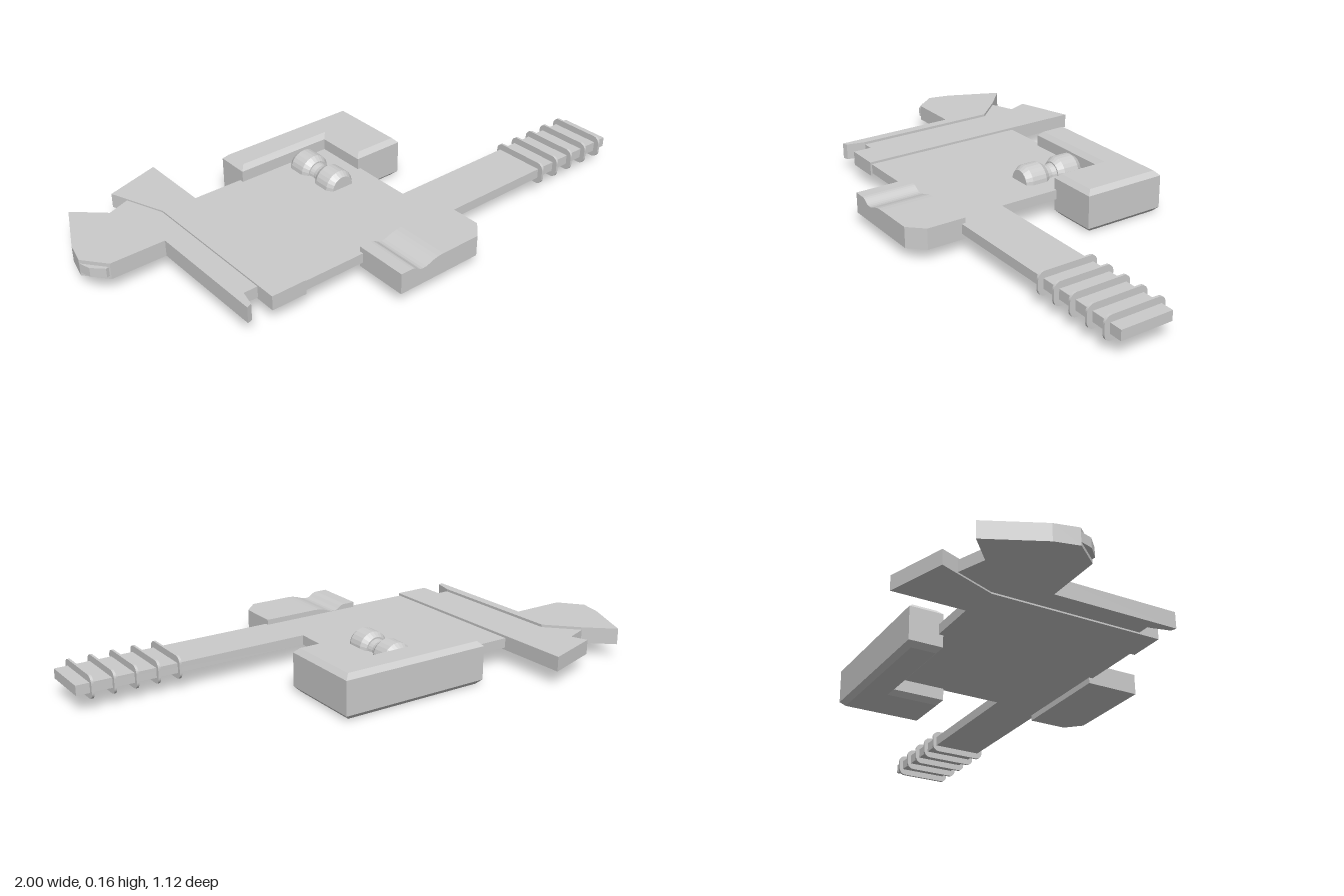
import * as THREE from 'three';

const material = new THREE.MeshStandardMaterial({ color: 0xcccccc, flatShading: true, side: THREE.DoubleSide });
const smooth = new THREE.MeshStandardMaterial({ color: 0xcccccc, side: THREE.DoubleSide });

// Extrudes an [x, z] outline upward from y0 to y1, with an optional chamfer inside the outline.
function slab(name, outline, y0, y1, chamfer = 0) {
  const shape = new THREE.Shape(outline.map(([x, z]) => new THREE.Vector2(x, -z)));
  const geo = new THREE.ExtrudeGeometry(shape, {
    depth: y1 - y0 - 2 * chamfer,
    bevelEnabled: chamfer > 0,
    bevelSize: chamfer,
    bevelThickness: chamfer,
    bevelOffset: -chamfer,
    bevelSegments: 1,
  });
  geo.rotateX(-Math.PI / 2);
  geo.translate(0, y0 + chamfer, 0);
  return named(name, geo);
}

function named(name, geo, mat = material) {
  const mesh = new THREE.Mesh(geo, mat);
  mesh.name = name;
  return mesh;
}

// Thin rounded collar around the arm.
function collar(x) {
  const w = 0.23, h = 0.086, r = 0.026;
  const s = new THREE.Shape();
  s.absarc(w / 2 - r, h / 2 - r, r, 0, Math.PI / 2);
  s.absarc(-w / 2 + r, h / 2 - r, r, Math.PI / 2, Math.PI);
  s.absarc(-w / 2 + r, -h / 2 + r, r, Math.PI, Math.PI * 1.5);
  s.absarc(w / 2 - r, -h / 2 + r, r, Math.PI * 1.5, Math.PI * 2);
  const geo = new THREE.ExtrudeGeometry(s, { depth: 0.009, bevelEnabled: false, curveSegments: 4 });
  geo.rotateY(Math.PI / 2);
  geo.translate(x - 0.0045, 0.083, 0.27);
  return named('collar', geo);
}

// Front grip: side profile with a finger groove, one outer corner cut off.
function frontGrip() {
  const s = new THREE.Shape();
  s.moveTo(-0.245, 0.042);
  s.lineTo(0.155, 0.042);
  s.lineTo(0.155, 0.121);
  s.lineTo(-0.06, 0.121);
  s.bezierCurveTo(-0.11, 0.121, -0.12, 0.102, -0.15, 0.102);
  s.bezierCurveTo(-0.175, 0.102, -0.175, 0.121, -0.2, 0.121);
  s.lineTo(-0.245, 0.121);
  s.closePath();
  const geo = new THREE.ExtrudeGeometry(s, { depth: 2, steps: 2, bevelEnabled: false, curveSegments: 6 });
  const p = geo.attributes.position;
  const depths = [0.35, 0.5, 0.556];
  for (let i = 0; i < p.count; i++) {
    const step = Math.round(p.getZ(i));
    p.setZ(i, depths[step]);
    if (step === 2 && p.getX(i) > 0.15) p.setX(i, 0.1);
  }
  geo.computeVertexNormals();
  return named('frontGrip', geo);
}

// Half-round knob lying along z on the plate.
function knob(z0, z1) {
  const profile = [[0, z0], [0.045, z0], [0.06, z0 + 0.022], [0.06, z1 - 0.022], [0.045, z1], [0, z1]];
  return halfRound('knob', profile);
}

function halfRound(name, profile) {
  const geo = new THREE.LatheGeometry(profile.map(([r, z]) => new THREE.Vector2(r, z)), 12, -Math.PI / 2, Math.PI);
  geo.rotateX(Math.PI / 2); // axis to z, then turn the round side up
  const top = new THREE.Box3().setFromBufferAttribute(geo.attributes.position);
  if (top.max.y < 0.01) geo.rotateZ(Math.PI);
  geo.translate(-0.03, 0.1, 0);
  return named(name, geo);
}

export function createModel() {
  const model = new THREE.Group();
  model.name = 'model';

  // Flat body with the long arm
  model.add(slab('bodyPlate', [
    [-0.5, -0.285], [0.11, -0.285], [0.11, 0.17], [1, 0.17], [1, 0.365], [-0.5, 0.365],
  ], 0.064, 0.101));

  for (let i = 0; i < 5; i++) model.add(collar(0.622 + i * 0.081));

  // Upright end plates
  model.add(slab('endPlate', [
    [-0.49, -0.56], [-0.49, 0.372], [-0.625, 0.372], [-0.625, -0.275], [-0.707, -0.49],
  ], 0.055, 0.11));
  model.add(slab('joiningStrip', [
    [-0.68, -0.425], [-0.62, -0.275], [-0.62, 0.293], [-0.69, 0.293], [-0.69, -0.27], [-0.785, -0.385],
  ], 0.061, 0.104));

  // Hooked outer piece with its small tip
  model.add(slab('hook', [
    [-0.885, -0.475], [-0.785, -0.385], [-0.683, -0.275], [-0.683, 0.293], [-0.7, 0.365],
    [-0.72, 0.372], [-0.72, -0.105], [-0.93, -0.105], [-0.998, -0.19], [-0.978, -0.275],
  ], 0.052, 0.114));
  model.add(slab('hookTip', [
    [-0.998, -0.19], [-0.93, -0.11], [-0.945, -0.106], [-0.985, -0.145],
  ], 0.065, 0.1));

  // Chamfered angle block
  model.add(slab('angleBlock', [
    [-0.286, -0.396], [0.3, -0.396], [0.3, -0.068], [0.098, -0.068], [0.098, -0.268], [-0.286, -0.268],
  ], 0, 0.162, 0.018));

  // Pair of knobs joined by a neck
  const knobs = new THREE.Group();
  knobs.name = 'knobs';
  knobs.add(knob(-0.252, -0.147), knob(-0.106, -0.002));
  knobs.add(halfRound('neck', [[0.04, -0.15], [0.036, -0.127], [0.04, -0.103]]));
  model.add(knobs);

  model.add(frontGrip());
  return model;
}
